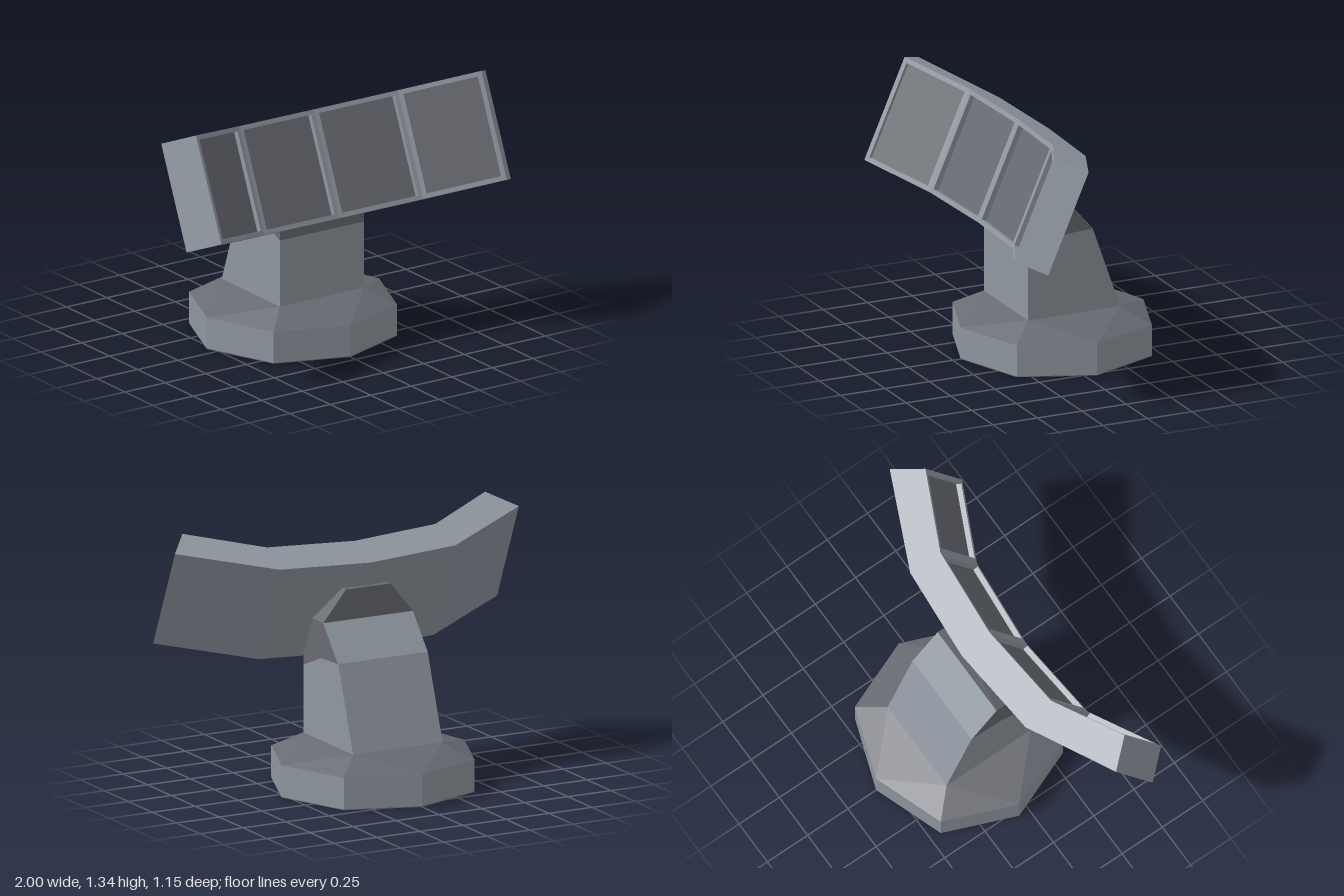
import * as THREE from 'three';
import { ConvexGeometry } from 'three/addons/geometries/ConvexGeometry.js';

const light = new THREE.MeshStandardMaterial({ color: 0x8f97a0, flatShading: true });
const dark = new THREE.MeshStandardMaterial({ color: 0x686b72, flatShading: true });

function addMesh(parent, name, geometry, material) {
  const mesh = new THREE.Mesh(geometry, material);
  mesh.name = name;
  parent.add(mesh);
}

const toShape = (points) => new THREE.Shape(points.map((p) => new THREE.Vector2(...p)));

// Rectangle corners at height y, half width w, from zBack to zFront
function rectangle(y, w, zBack, zFront) {
  return [[-w, zBack], [w, zBack], [w, zFront], [-w, zFront]].map(
    ([x, z]) => new THREE.Vector3(x, y, z));
}

// Outline of the foot at height y
function octagon(y) {
  return [[0, 0.515], [0.38, 0.38], [0.532, 0], [0.38, -0.38],
    [0, -0.515], [-0.38, -0.38], [-0.532, 0], [-0.38, 0.38]].map(
    ([x, z]) => new THREE.Vector3(x, y, z - 0.06));
}

// Side profile in (z, y), extruded across the column's width
function columnPart(profile) {
  const geometry = new THREE.ExtrudeGeometry(toShape(profile), { depth: 0.52, bevelEnabled: false });
  return geometry.rotateY(-Math.PI / 2).translate(0.26, 0, 0);
}

// Right half of a polyline mirrored into a full one, from -x to +x
function mirrored(half) {
  return [...half.slice(1).reverse().map(([x, z]) => [-x, z]), ...half];
}

export function createModel() {
  const model = new THREE.Group();
  model.name = 'curvedPanelOnPedestal';

  // Eight-sided foot: dark sole, light rim, dark slope up to the square column
  addMesh(model, 'baseSole', new ConvexGeometry([...octagon(0), ...octagon(0.004)]), dark);
  addMesh(model, 'baseRim', new ConvexGeometry([...octagon(0.004), ...octagon(0.17)]), light);
  addMesh(model, 'baseSlope', new ConvexGeometry([
    ...octagon(0.17), ...rectangle(0.25, 0.26, -0.32, 0.2)]), dark);

  // Column with a light back all the way up and a dark upper part
  addMesh(model, 'column', columnPart([
    [0.2, 0.25], [0.2, 0.605], [0.02, 0.68], [-0.161, 0.69],
    [-0.006, 0.87], [-0.01, 0.87], [-0.165, 0.69], [-0.32, 0.25]]), light);
  addMesh(model, 'columnHead', columnPart([
    [0.2, 0.605], [0.2, 0.72], [0.14, 0.87], [-0.006, 0.87], [-0.161, 0.69], [0.02, 0.68]]), dark);

  // Tapered bracket behind the panel
  addMesh(model, 'bracket', new ConvexGeometry([
    ...rectangle(0.87, 0.26, -0.01, 0.14), ...rectangle(1.03, 0.13, -0.01, 0.08)]), dark);

  // Tilted panel: local y runs up the panel, z points out of its face
  const panel = new THREE.Group();
  panel.name = 'panel';
  panel.position.set(0, 0.643, 0.183);
  panel.rotation.x = -0.412;
  model.add(panel);

  const height = 0.568, rim = 0.024, recess = 0.16;
  const back = mirrored([[0, 0], [0.51, 0.043], [1, 0.28]]);
  const front = mirrored([[0, 0.188], [0.49, 0.232], [0.88, 0.43]]);
  const floor = front.map(([x, z], i) => [
    x + (back[i][0] - x) * recess, z + (back[i][1] - z) * recess]);

  // Solid body up to the floor of the recesses
  const outline = [...back, ...floor.slice().reverse()].map(([x, z]) => [x, -z]);
  const body = new THREE.ExtrudeGeometry(toShape(outline), { depth: height, bevelEnabled: false });
  addMesh(panel, 'panelBody', body.rotateX(-Math.PI / 2), light);

  // One mitred frame and one dark inset per facet
  for (let i = 0; i < 4; i++) {
    const length = Math.hypot(front[i + 1][0] - front[i][0], front[i + 1][1] - front[i][1]);

    // Moves a flat part (z from 0 to 1) between the floor line and the front line
    const fitToFacet = (geometry) => {
      const pos = geometry.attributes.position;
      for (let v = 0; v < pos.count; v++) {
        const t = pos.getX(v) / length, d = pos.getZ(v);
        const [x, z] = [0, 1].map((k) => THREE.MathUtils.lerp(
          THREE.MathUtils.lerp(floor[i][k], floor[i + 1][k], t),
          THREE.MathUtils.lerp(front[i][k], front[i + 1][k], t), d));
        pos.setXYZ(v, x, pos.getY(v), z);
      }
      geometry.computeVertexNormals();
      return geometry;
    };

    const shape = toShape([[0, 0], [length, 0], [length, height], [0, height]]);
    const l = length - rim, h = height - rim;
    shape.holes.push(toShape([[rim, rim], [rim, h], [l, h], [l, rim]]));
    const frame = new THREE.ExtrudeGeometry(shape, { depth: 1, bevelEnabled: false });
    addMesh(panel, 'facetFrame' + (i + 1), fitToFacet(frame), light);

    const inset = new THREE.PlaneGeometry(length - 2 * rim, height - 2 * rim);
    inset.translate(length / 2, height / 2, 0.05);
    addMesh(panel, 'facetInset' + (i + 1), fitToFacet(inset), dark);
  }
  return model;
}
